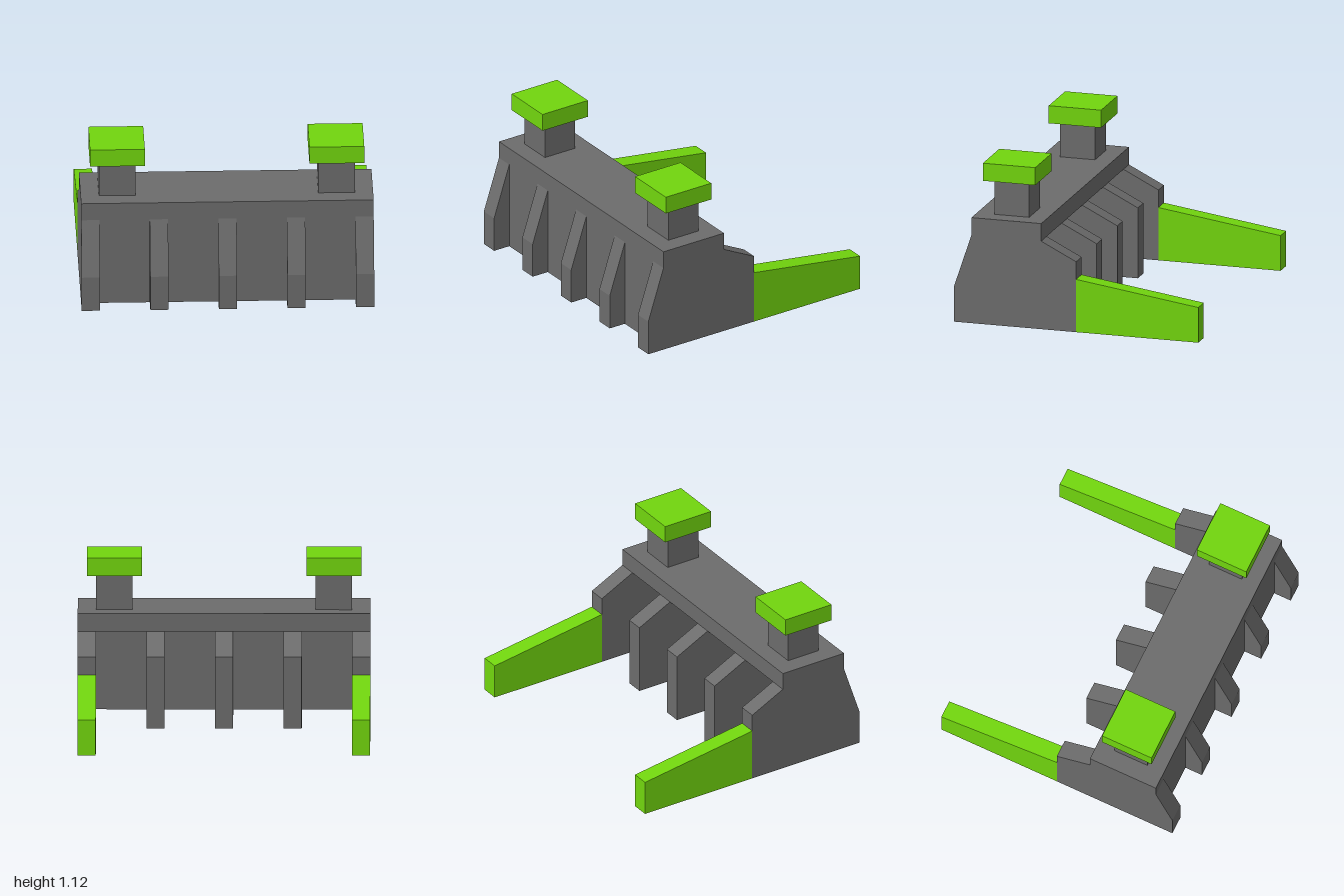
import * as THREE from 'three';

export function createModel() {
  const group = new THREE.Group();
  const grey = new THREE.MeshStandardMaterial({ name: 'grey', color: 0x6c6c6c });
  const green = new THREE.MeshStandardMaterial({ name: 'green', color: 0x72d60e });

  function add(name, geometry, material, x, y, z) {
    const mesh = new THREE.Mesh(geometry, material);
    mesh.name = name;
    mesh.position.set(x, y, z);
    group.add(mesh);
  }

  // Side profile of [z, y] points, extruded across x and centred on x = 0
  function plate(points, width) {
    const shape = new THREE.Shape(points.map(([z, y]) => new THREE.Vector2(z, y)));
    return new THREE.ExtrudeGeometry(shape, { depth: width, bevelEnabled: false })
      .translate(0, 0, -width / 2)
      .rotateY(-Math.PI / 2);
  }

  // Top beam and the upright wall beneath it
  add('topBeam', new THREE.BoxGeometry(2, 0.125, 0.5), grey, 0, 0.6875, 0.5);
  add('frontWall', new THREE.BoxGeometry(1.75, 0.625, 0.125), grey, 0, 0.3125, 0.6875);

  // Five evenly spaced ribs
  const ribGeometry = plate(
    [[0, 0], [0.875, 0], [0.875, 0.25], [0.75, 0.625], [0.25, 0.625], [0, 0.5]], 0.125);
  for (let i = -2; i <= 2; i++) add('rib', ribGeometry, grey, i * 0.46875, 0, 0);

  // Tapered rear arms, posts and caps on both sides
  const armGeometry = plate([[-0.875, 0], [0, 0], [0, 0.375], [-0.875, 0.25]], 0.125);
  const postGeometry = new THREE.BoxGeometry(0.25, 0.25, 0.25);
  const capGeometry = new THREE.BoxGeometry(0.375, 0.125, 0.375);
  for (const [side, s] of [['left', 1], ['right', -1]]) {
    add(side + 'RearArm', armGeometry, green, s * 0.9375, 0, 0);
    add(side + 'Post', postGeometry, grey, s * 0.75, 0.875, 0.5);
    add(side + 'Cap', capGeometry, green, s * 0.75, 1.0625, 0.5);
  }

  return group;
}
